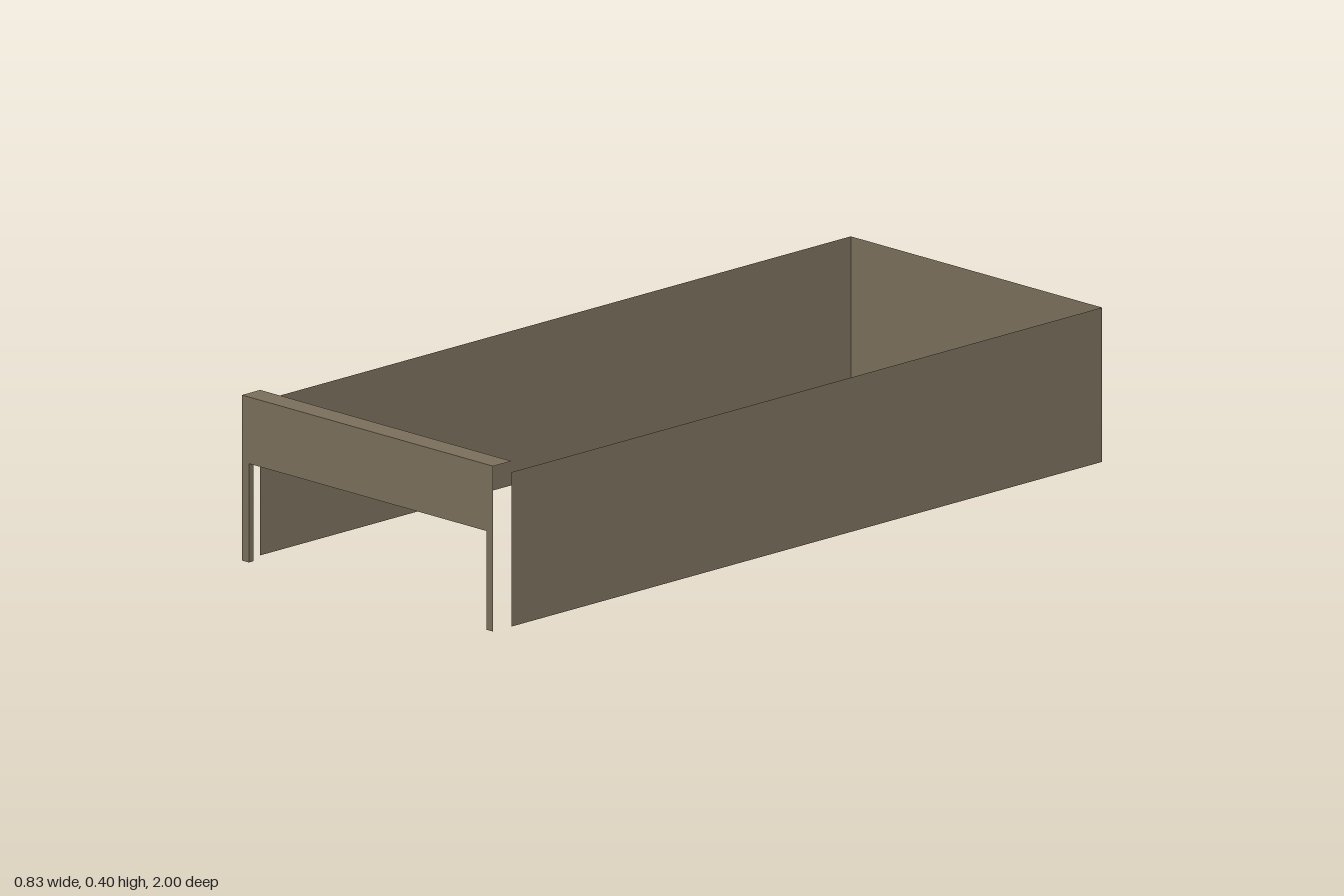
import * as THREE from 'three';

const W = 0.416;                 // half width
const H = 0.402;                 // front height
const WALL = 0.375;              // side and back height
const WALL_FRONT = 0.94;         // front end of the side walls
const IN = 0.393, OPEN = 0.24;   // front opening half width and height
const LIP = 0.985;               // inner edge of the opening flange

export function createModel() {
  const model = new THREE.Group();
  const sheet = new THREE.MeshStandardMaterial({ color: 0x7b6f5c, side: THREE.DoubleSide });
  sheet.name = 'brown sheet';

  const add = (name, geometry) => {
    const mesh = new THREE.Mesh(geometry, sheet);
    mesh.name = name;
    model.add(mesh);
    return mesh;
  };
  const outline = (points) =>
    new THREE.ShapeGeometry(new THREE.Shape(points.map(([x, y]) => new THREE.Vector2(x, y))));

  // flat sheet lying level: outline given as [x, z]
  const level = (name, points, y) =>
    add(name, outline(points).rotateX(Math.PI / 2).translate(0, y, 0));

  // upright sheet facing sideways
  const upright = (name, x, z0, z1, height) =>
    add(name, new THREE.PlaneGeometry(z1 - z0, height)
      .rotateY(Math.PI / 2).translate(x, height / 2, (z0 + z1) / 2));

  // front panel with its two legs
  add('frontPanel', outline([
    [-W, 0], [-IN, 0], [-IN, OPEN], [IN, OPEN], [IN, 0], [W, 0], [W, H], [-W, H],
  ]).translate(0, 0, 1));

  // top ledge folded back from the front panel
  level('topLedge', [[-W, 1], [W, 1], [W, WALL_FRONT], [-W, WALL_FRONT]], H);

  // flange above the opening, with a tapered tab in the middle
  level('openingFlange', [
    [-IN, 1], [IN, 1], [IN, LIP], [0.195, LIP], [0.135, 0.955],
    [-0.135, 0.955], [-0.195, LIP], [-IN, LIP],
  ], OPEN);

  for (const [side, s] of [['left', 1], ['right', -1]]) {
    upright(side + 'SideWall', s * W, -1, WALL_FRONT, WALL);
    upright(side + 'LegFlange', s * IN, LIP, 1, OPEN);
    // small level disc behind the front panel
    add(side + 'Disc', new THREE.CircleGeometry(0.009, 16)
      .rotateX(-Math.PI / 2).translate(s * 0.098, 0.308, 0.943));
  }

  // back wall
  add('backWall', new THREE.PlaneGeometry(2 * W, WALL).translate(0, WALL / 2, -1));

  return model;
}
